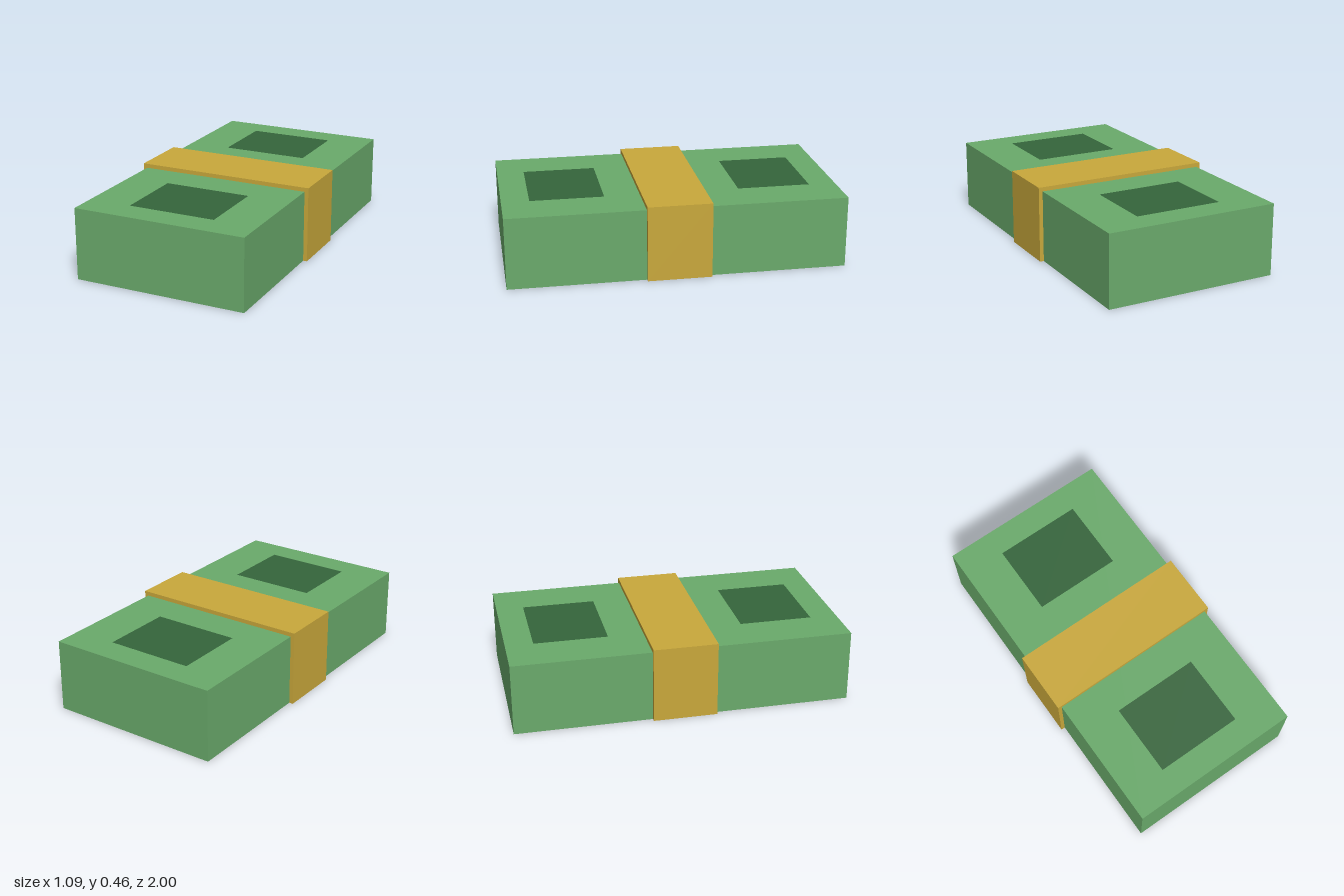
import * as THREE from 'three';

const green = new THREE.MeshStandardMaterial({ name: 'noteGreen', color: 0x6aaa6b, side: THREE.DoubleSide });
const darkGreen = new THREE.MeshStandardMaterial({ name: 'printDarkGreen', color: 0x35653b, side: THREE.DoubleSide });
const gold = new THREE.MeshStandardMaterial({ name: 'bandGold', color: 0xc9a83b, side: THREE.DoubleSide });

// Box standing on y = 0 with its bottom face left out
function openBox(name, width, height, depth, material) {
  const geometry = new THREE.BoxGeometry(width, height, depth).translate(0, height / 2, 0);
  const index = Array.from(geometry.index.array);
  index.splice(18, 6); // the fourth side is the bottom
  geometry.setIndex(index);
  geometry.clearGroups();
  const mesh = new THREE.Mesh(geometry, material);
  mesh.name = name;
  return mesh;
}

export function createModel() {
  const group = new THREE.Group();
  group.name = 'banknoteBundle';

  // Stack of notes and the band wrapped round its middle
  group.add(openBox('noteStack', 1.046, 0.43, 2, green));
  group.add(openBox('paperBand', 1.094, 0.455, 0.38, gold));

  // Printed panel on each half of the top note
  for (const side of [1, -1]) {
    const panel = new THREE.Mesh(new THREE.PlaneGeometry(0.526, 0.436).rotateX(-Math.PI / 2), darkGreen);
    panel.name = side > 0 ? 'frontPanel' : 'backPanel';
    panel.position.set(0, 0.432, side * 0.619);
    group.add(panel);
  }
  return group;
}
